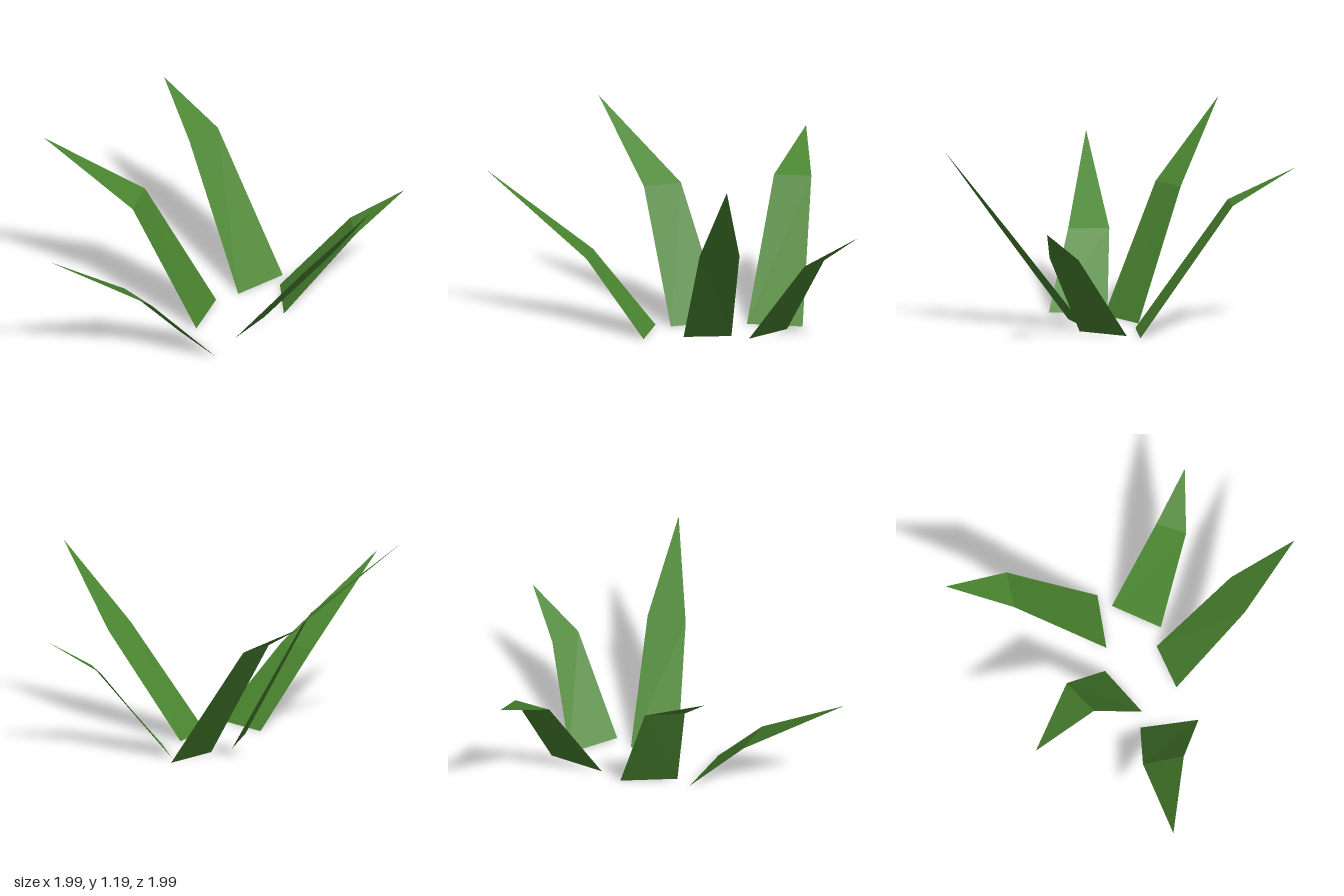
import * as THREE from 'three';

// Each leaf: base left/right, bend left/right (seen looking outward), tip.
const leaves = {
  rightLeaf: [[-0.12, 0, -0.04], [-0.18, 0, -0.37], [-0.5, 0.755, 0.05], [-0.55, 0.755, -0.18], [-1, 1.19, 0.23]],
  leftLeaf: [[0.16, 0, -0.35], [0.13, 0, -0.07], [0.64, 0.61, -0.31], [0.6, 0.61, -0.08], [0.99, 1.09, -0.17]],
  frontLeaf: [[0.14, 0, 0.17], [-0.18, 0, 0.04], [-0.13, 0.43, 0.46], [-0.36, 0.43, 0.38], [-0.51, 0.9, 0.99]],
  backLeftLeaf: [[0.06, 0, -0.7], [0.24, 0, -0.44], [0.45, 0.51, -0.85], [0.57, 0.51, -0.71], [0.73, 0.71, -1]],
  backRightLeaf: [[-0.1, 0, -0.49], [0.02, 0, -0.8], [-0.58, 0.77, -0.74], [-0.51, 0.77, -0.95], [-0.9, 0.975, -0.99]],
};

// A flat lower blade (two triangles) with a folded pointed tip
function leafGeometry(points) {
  const order = [0, 1, 3, 0, 3, 2, 2, 3, 4];
  const geometry = new THREE.BufferGeometry();
  geometry.setAttribute('position', new THREE.Float32BufferAttribute(order.flatMap((i) => points[i]), 3));
  geometry.computeVertexNormals();
  return geometry;
}

export function createModel() {
  const group = new THREE.Group();
  group.name = 'grassTuft';
  const leafGreen = new THREE.MeshStandardMaterial({ color: 0x4a8530, side: THREE.DoubleSide, flatShading: true });
  leafGreen.name = 'leafGreen';

  for (const [name, points] of Object.entries(leaves)) {
    const leaf = new THREE.Mesh(leafGeometry(points), leafGreen);
    leaf.name = name;
    group.add(leaf);
  }
  return group;
}
